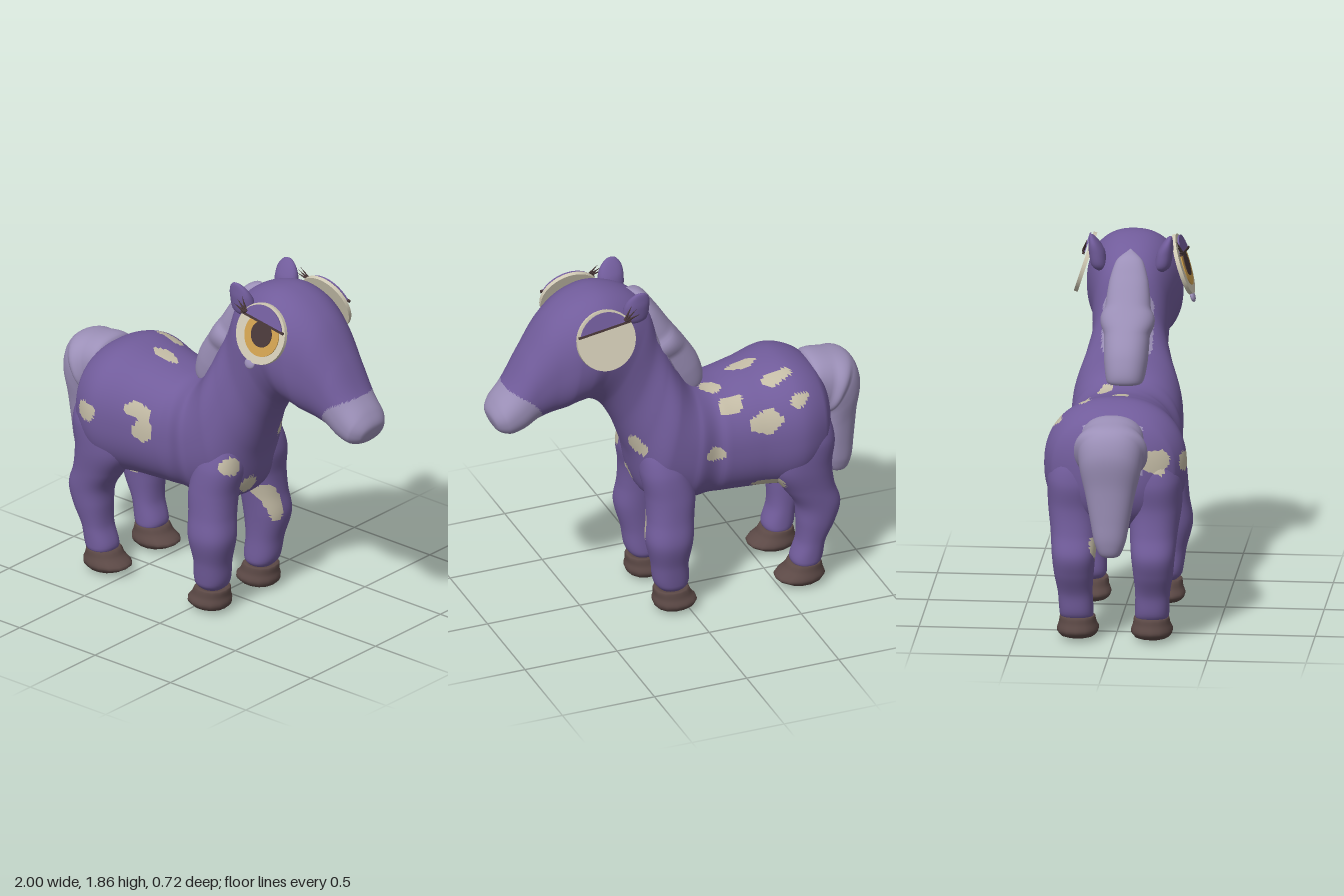
import * as THREE from 'three';

const material = (name, color) => Object.assign(new THREE.MeshStandardMaterial({ color }), { name });
const coat = material('purple coat', 0x715c9b);
const hair = material('lavender hair', 0x9c90b8);
const cream = material('cream patches', 0xc4bca6);
const hoofBrown = material('brown hoof', 0x5c4946);
const eyeWhite = material('eye white', 0xd0c9b4);
const amber = material('amber iris', 0xcd9f4e);
const dark = material('dark pupil', 0x483738);

// Cream patches as ellipsoids: x, y, z, then radii
const patches = [
  [-0.62, 0.94, 0.34, 0.075, 0.05, 0.1], [-0.34, 1.0, 0.28, 0.075, 0.04, 0.09],
  [-0.29, 0.91, 0.3, 0.055, 0.065, 0.1], [-0.78, 0.97, 0.23, 0.05, 0.07, 0.08],
  [0.2, 0.82, 0.2, 0.1, 0.05, 0.055], [0.2, 0.68, 0.06, 0.12, 0.045, 0.05],
  [0.28, 0.95, -0.15, 0.12, 0.055, 0.05], [0.2, 0.57, -0.095, 0.1, 0.05, 0.055],
  [0.2, 0.48, -0.15, 0.08, 0.07, 0.045], [-0.58, 1.08, -0.27, 0.065, 0.07, 0.045],
  [-0.4, 1.02, -0.28, 0.085, 0.06, 0.06], [-0.5, 1.18, -0.165, 0.085, 0.09, 0.04],
  [-0.24, 1.11, -0.2, 0.075, 0.08, 0.04], [-0.17, 1.17, -0.09, 0.06, 0.08, 0.035],
  [-0.38, 1.19, 0.01, 0.075, 0.06, 0.04], [-0.13, 0.88, -0.29, 0.055, 0.04, 0.08],
  [-0.42, 0.62, -0.25, 0.09, 0.055, 0.06], [-0.26, 0.57, 0, 0.05, 0.05, 0.045],
  [-0.43, 0.56, 0.05, 0.06, 0.05, 0.05], [-0.59, 0.53, -0.12, 0.08, 0.09, 0.06],
  [-0.7, 0.5, -0.1, 0.08, 0.07, 0.05],
];

function inPatch(x, y, z) {
  const wobble = 1 + 0.2 * Math.sin(41 * x + 23 * z) * Math.sin(37 * y + 29 * z + 1);
  return patches.some(([a, b, c, rx, ry, rz]) =>
    Math.hypot((x - a) / rx, (y - b) / ry, (z - c) / rz) < wobble);
}

// Slot 0 coat, 1 hair, 2 cream
function coatSlot(x, y, z) {
  const muzzle = Math.hypot(x - 0.93, y - 1.175, z * 0.4) < 0.19;
  const maneRoot = Math.abs(z) < 0.13 && x > -0.2 && y > 1.2 && x < Math.min(0.135, -0.08 + (y - 1.19) * 0.8);
  const tailRoot = Math.abs(z) < 0.15 && y > 0.9 && x < -0.73 - (1.18 - y) * 0.2;
  if (muzzle || maneRoot || tailRoot) return 1;
  return inPatch(x, y, z) ? 2 : 0;
}

// Smooth loft. Each section: two opposite points (x1, y1) and (x2, y2), centre z, half width.
function loft(name, sections, materials, slot = () => 0, rings = 60, sides = 40) {
  const curve = pick => new THREE.CatmullRomCurve3(sections.map(s => new THREE.Vector3(...pick(s))));
  const first = curve(s => [s[0], s[1], 0]);
  const second = curve(s => [s[2], s[3], 0]);
  const breadth = curve(s => [s[4], s[5], 0]);
  const pos = [];
  for (let i = 0; i <= rings; i++) {
    const a = first.getPoint(i / rings), b = second.getPoint(i / rings), w = breadth.getPoint(i / rings);
    for (let j = 0; j < sides; j++) {
      const t = (j / sides) * Math.PI * 2;
      let c = Math.cos(t), s = Math.sin(t);
      const k = (Math.abs(c) ** 2.3 + Math.abs(s) ** 2.3) ** (-1 / 2.3);
      c *= k; s *= k;
      pos.push((a.x + b.x) / 2 + c * (a.x - b.x) / 2, (a.y + b.y) / 2 + c * (a.y - b.y) / 2,
        w.x + s * Math.max(w.y, 0));
    }
  }
  const point = i => new THREE.Vector3().fromArray(pos, i * 3);
  const tris = [];
  let volume = 0;
  const add = (...t) => {
    const [p, q, r] = t.map(point);
    volume += p.dot(q.clone().cross(r));
    tris.push(t);
  };
  for (let i = 0; i < rings; i++) for (let j = 0; j < sides; j++) {
    const k = (j + 1) % sides, u = i * sides, v = u + sides;
    add(u + j, v + j, v + k);
    add(u + j, v + k, u + k);
  }
  const lists = materials.map(() => []);
  for (const t of tris) {
    const m = t.map(point).reduce((s, p) => s.add(p), new THREE.Vector3()).divideScalar(3);
    lists[slot(m.x, m.y, m.z)].push(...(volume < 0 ? [t[0], t[2], t[1]] : t));
  }
  const geo = new THREE.BufferGeometry();
  geo.setAttribute('position', new THREE.Float32BufferAttribute(pos, 3));
  geo.setIndex(lists.flat());
  let start = 0;
  lists.forEach((l, i) => { geo.addGroup(start, l.length, i); start += l.length; });
  geo.computeVertexNormals();
  const mesh = new THREE.Mesh(geo, materials);
  mesh.name = name;
  return mesh;
}

function part(parent, name, geo, mat, x, y, z) {
  const mesh = new THREE.Mesh(geo, mat);
  mesh.name = name;
  mesh.position.set(x, y, z);
  parent.add(mesh);
  return mesh;
}

// Eye disc leaning in at the top, with heavy lid and lashes on its outer face
function makeEye(side) {
  const eye = new THREE.Group();
  eye.name = side > 0 ? 'nearEye' : 'farEye';
  eye.position.set(0.457, 1.657, side * 0.247);
  eye.rotation.x = -side * 0.31;
  const disc = (name, r, depth, mat, x, y, z) =>
    part(eye, name, new THREE.CylinderGeometry(r, r, depth, 40).rotateX(Math.PI / 2), mat, x, y, z * side);
  disc('eyeball', 0.157, 0.02, eyeWhite, 0, 0, 0);
  if (side > 0) {
    disc('iris', 0.11, 0.006, amber, 0.012, -0.004, 0.012);
    disc('pupil', 0.066, 0.006, dark, 0.012, 0, 0.016);
    part(eye, 'tear', new THREE.SphereGeometry(0.032, 16, 12).scale(1, 0.9, 0.4), hair, -0.035, -0.165, 0);
  }
  const lid = new THREE.Shape().absarc(0, 0, 0.147, 0.3, Math.PI - 0.56, false);
  part(eye, 'eyelid', new THREE.ExtrudeGeometry(lid, { depth: 0.008, bevelEnabled: false, curveSegments: 24 }),
    coat, 0, 0, side * 0.022 - 0.004);
  const line = part(eye, 'lidLine', new THREE.BoxGeometry(0.29, 0.011, 0.012), dark, 0.008, 0.06, side * 0.024);
  line.rotation.z = -0.13;
  for (let i = 0; i < 3; i++) {
    const lash = part(eye, 'eyelash', new THREE.ConeGeometry(0.008, 0.085, 6), dark,
      -0.15 + i * 0.012, 0.095 + i * 0.014, side * 0.028);
    lash.rotation.z = 1.3 - i * 0.35;
  }
  return eye;
}

export function createModel() {
  const model = new THREE.Group();
  const skin = [coat, hair, cream];

  // Rump, barrel, neck and head in one sweep
  model.add(loft('body', [
    [-0.8, 0.95, -0.8, 0.95, 0, 0], [-0.785, 1.08, -0.79, 0.75, 0, 0.18],
    [-0.72, 1.18, -0.72, 0.63, 0, 0.31], [-0.58, 1.235, -0.58, 0.56, 0, 0.36],
    [-0.38, 1.2, -0.4, 0.56, 0, 0.315], [-0.2, 1.175, -0.18, 0.565, 0, 0.285],
    [-0.07, 1.21, 0.01, 0.56, 0, 0.285], [0.01, 1.33, 0.18, 0.62, 0, 0.28],
    [0.06, 1.45, 0.26, 0.87, 0, 0.225], [0.11, 1.58, 0.34, 1.07, 0, 0.19],
    [0.16, 1.71, 0.42, 1.185, 0, 0.195], [0.27, 1.8, 0.5, 1.23, 0, 0.22],
    [0.42, 1.84, 0.56, 1.23, 0, 0.243], [0.55, 1.81, 0.62, 1.21, 0, 0.235],
    [0.68, 1.72, 0.69, 1.19, 0, 0.195], [0.8, 1.55, 0.76, 1.165, 0, 0.16],
    [0.9, 1.38, 0.83, 1.125, 0, 0.143], [0.97, 1.29, 0.9, 1.11, 0, 0.13],
    [0.998, 1.23, 0.96, 1.13, 0, 0.085], [0.99, 1.18, 0.99, 1.18, 0, 0],
  ], skin, coatSlot, 200, 128));

  // Mane ridge down the back of the neck
  model.add(loft('mane', [
    [-0.1, 1.15, -0.1, 1.15, 0, 0], [-0.155, 1.2, 0.02, 1.15, 0, 0.09],
    [-0.135, 1.32, 0.1, 1.24, 0, 0.11], [-0.065, 1.44, 0.15, 1.36, 0, 0.115],
    [0.02, 1.56, 0.18, 1.47, 0, 0.115], [0.1, 1.68, 0.2, 1.6, 0, 0.1],
    [0.17, 1.765, 0.22, 1.7, 0, 0.07], [0.25, 1.79, 0.25, 1.79, 0, 0],
  ], [hair]));

  // Tail arching out and hanging down
  model.add(loft('tail', [
    [-0.71, 1.1, -0.71, 1.1, 0, 0], [-0.73, 1.19, -0.76, 0.96, 0, 0.155],
    [-0.85, 1.19, -0.785, 0.9, 0, 0.163], [-0.95, 1.16, -0.8, 0.87, 0, 0.163],
    [-1.0, 1.05, -0.8, 0.83, 0, 0.15], [-0.985, 0.87, -0.8, 0.78, 0, 0.125],
    [-0.975, 0.7, -0.805, 0.68, 0, 0.1], [-0.965, 0.58, -0.82, 0.58, 0, 0.08],
    [-0.94, 0.51, -0.85, 0.51, 0, 0.05], [-0.9, 0.495, -0.9, 0.495, 0, 0],
  ], [hair]));

  for (const s of [1, -1]) {
    const pair = s > 0 ? 'near' : 'far';
    // Rows: back x, front x, height, centre z, half width
    const limb = (name, rows, mats, slot, rings, sides) => model.add(loft(pair + name,
      rows.map(([a, b, y, z, w]) => [a, y, b, y, s * z, w]), mats, slot, rings, sides));
    limb('FrontLeg', [
      [0.1, 0.1, 1.0, 0.13, 0], [0.04, 0.2, 0.93, 0.14, 0.09], [-0.01, 0.23, 0.8, 0.155, 0.13],
      [-0.04, 0.21, 0.66, 0.18, 0.122], [-0.03, 0.21, 0.54, 0.197, 0.115], [-0.02, 0.222, 0.42, 0.213, 0.115],
      [0, 0.19, 0.28, 0.202, 0.094], [0.0, 0.165, 0.15, 0.19, 0.085], [0.08, 0.08, 0.08, 0.185, 0],
    ], skin, coatSlot, 70, 44);
    limb('HindLeg', [
      [-0.64, -0.64, 1.04, 0.18, 0], [-0.75, -0.52, 0.97, 0.19, 0.1], [-0.79, -0.45, 0.84, 0.2, 0.14],
      [-0.775, -0.44, 0.7, 0.205, 0.132], [-0.79, -0.52, 0.57, 0.2, 0.12], [-0.822, -0.59, 0.46, 0.2, 0.11],
      [-0.795, -0.6, 0.36, 0.2, 0.1], [-0.745, -0.6, 0.25, 0.195, 0.087], [-0.72, -0.57, 0.13, 0.19, 0.085],
      [-0.64, -0.64, 0.08, 0.185, 0],
    ], skin, coatSlot, 70, 44);
    // Hooves flare to a blunt sole
    limb('FrontHoof', [
      [0.08, 0.08, 0.1, 0.187, 0], [-0.002, 0.167, 0.125, 0.187, 0.087], [-0.025, 0.17, 0.085, 0.187, 0.094],
      [-0.05, 0.176, 0.05, 0.187, 0.106], [-0.025, 0.16, 0.02, 0.187, 0.088], [0.07, 0.07, 0.0, 0.187, 0],
    ], [hoofBrown], undefined, 20, 14);
    limb('HindHoof', [
      [-0.64, -0.64, 0.1, 0.187, 0], [-0.722, -0.565, 0.125, 0.187, 0.087], [-0.733, -0.535, 0.09, 0.187, 0.094],
      [-0.745, -0.485, 0.05, 0.187, 0.106], [-0.715, -0.53, 0.02, 0.187, 0.088], [-0.63, -0.63, 0.0, 0.187, 0],
    ], [hoofBrown], undefined, 20, 14);
    // Short rounded ears leaning outwards
    limb('Ear', [
      [0.26, 0.26, 1.66, 0.15, 0], [0.205, 0.325, 1.7, 0.16, 0.04], [0.195, 0.33, 1.77, 0.172, 0.04],
      [0.2, 0.31, 1.82, 0.186, 0.026], [0.225, 0.275, 1.853, 0.198, 0.01], [0.25, 0.25, 1.86, 0.2, 0],
    ], [coat], undefined, 24, 20);
    model.add(makeEye(s));
  }
  return model;
}
